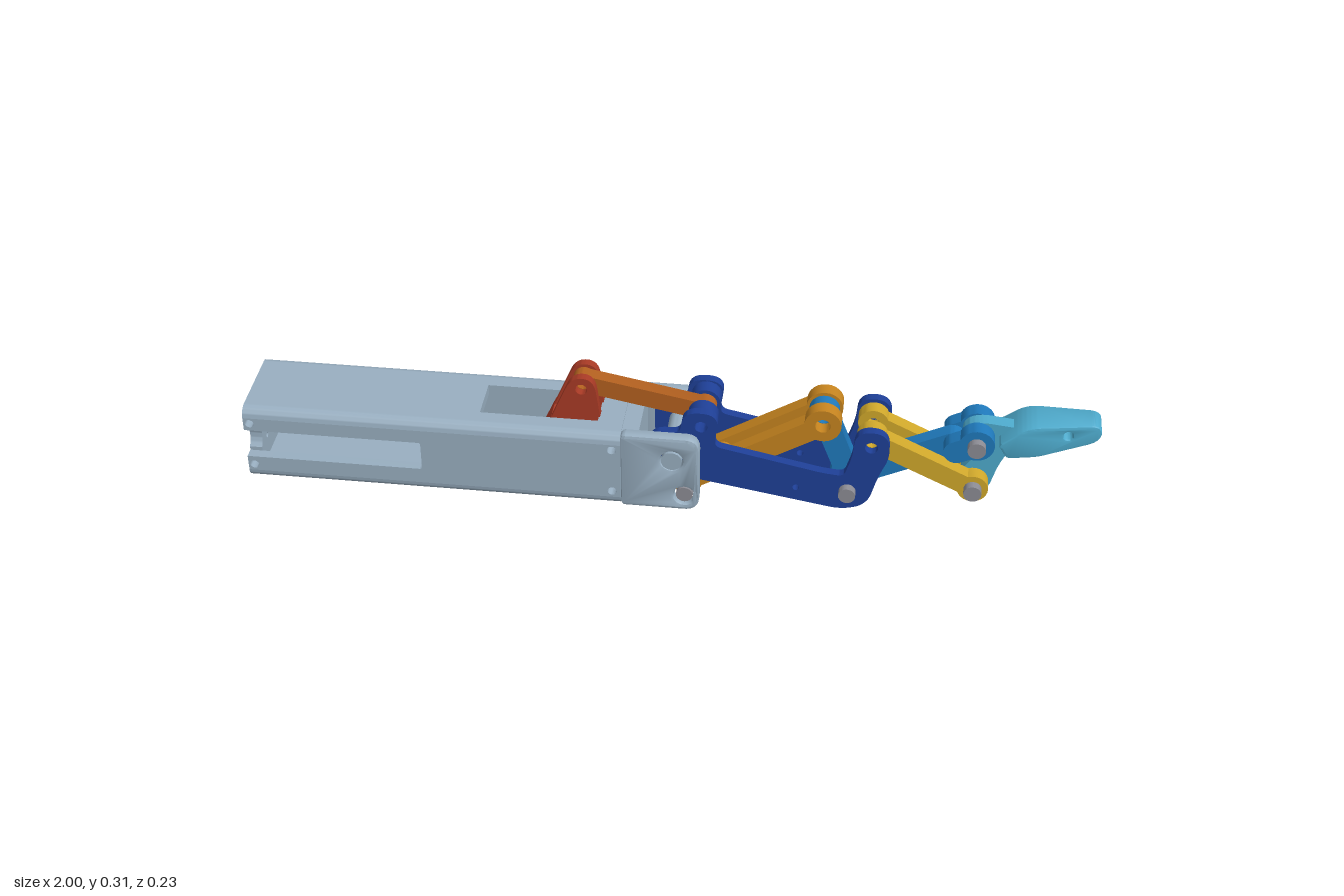
import * as THREE from 'three';
import { toCreasedNormals } from 'three/addons/utils/BufferGeometryUtils.js';

const mat = (name, color) => Object.assign(new THREE.MeshStandardMaterial({ color }), { name });
const V = (x, y) => new THREE.Vector2(x, y);

// Polygon with softened corners: points are [x, y, cornerLength]
function softPoly(pts, holes = []) {
  const s = new THREE.Shape();
  const n = pts.length;
  pts.forEach(([x, y, d = 0], i) => {
    const p = V(x, y);
    const toward = (q) => {
      const v = V(q[0], q[1]).sub(p);
      return p.clone().addScaledVector(v, Math.min(d, v.length() / 2) / v.length());
    };
    const a = toward(pts[(i + n - 1) % n]), b = toward(pts[(i + 1) % n]);
    if (i === 0) s.moveTo(a.x, a.y); else s.lineTo(a.x, a.y);
    if (d > 0) s.quadraticCurveTo(x, y, b.x, b.y);
  });
  s.closePath();
  return addHoles(s, holes);
}

function addHoles(shape, holes) {
  for (const [x, y, r] of holes) shape.holes.push(new THREE.Path().absarc(x, y, r, 0, Math.PI * 2, true));
  return shape;
}

// Bar of half width w with round eyes [x, y, radius] at both ends
function link(a, b, w, holes = []) {
  const dir = Math.atan2(b[1] - a[1], b[0] - a[0]);
  const pts = [];
  const eye = ([x, y, r], out) => {
    const gap = Math.asin(Math.min(1, w / r));
    for (let i = 0; i <= 20; i++) {
      const t = out - Math.PI + gap + (i / 20) * 2 * (Math.PI - gap);
      pts.push(V(x + r * Math.cos(t), y + r * Math.sin(t)));
    }
  };
  eye(b, dir);
  eye(a, dir + Math.PI);
  return addHoles(new THREE.Shape(pts), holes);
}

const ring = (x, y, r, hole) => addHoles(new THREE.Shape().absarc(x, y, r, 0, Math.PI * 2), hole ? [[x, y, hole]] : []);

function extrude(shape, z0, z1, bevel = 0) {
  const g = new THREE.ExtrudeGeometry(shape, {
    depth: z1 - z0 - 2 * bevel, curveSegments: 10, bevelEnabled: bevel > 0,
    bevelThickness: bevel, bevelSize: bevel, bevelOffset: -bevel, bevelSegments: 2,
  });
  return g.translate(0, 0, z0 + bevel);
}

export function createModel() {
  const root = new THREE.Group();
  const steel = mat('housing blue grey', 0x98aec0);
  const red = mat('crank red', 0xa83a25);
  const rust = mat('push rod rust', 0xb2601f);
  const navy = mat('base link navy', 0x1e3f96);
  const orange = mat('orange', 0xc6841f);
  const blue = mat('middle link blue', 0x1f79bb);
  const yellow = mat('yellow', 0xd0a82b);
  const cyan = mat('fingertip cyan', 0x4eabcd);
  const grey = mat('bolt grey', 0x8c8c94);

  const add = (name, geo, material) => {
    const m = new THREE.Mesh(toCreasedNormals(geo, 0.6), material);
    m.name = name;
    root.add(m);
    return m;
  };
  const centre = (name, shape, half, m, bevel) => add(name, extrude(shape, -half, half, bevel), m);
  const pair = (name, shape, z0, z1, m, bevel) => {
    add(name + 'Left', extrude(shape, z0, z1, bevel), m);
    add(name + 'Right', extrude(shape, -z1, -z0, bevel), m);
  };
  const pin = (name, x, y, r, half, m = grey) =>
    add(name, new THREE.CylinderGeometry(r, r, half * 2, 20).rotateX(Math.PI / 2).translate(x, y, 0), m);

  // Housing: hollow tube with round edges and an open slot at the rear of each side
  const x0 = -1, x1 = -0.1, W = 0.113, r = 0.025, yb = 0.003, yt = 0.205;
  const holes = [-0.985, -0.12].flatMap((x) => [[x, 0.045, 0.011], [x, 0.165, 0.011]]);
  pair('housingSide', softPoly([
    [x0, yb + r], [x1, yb + r], [x1, yt - r], [x0, yt - r],
    [x0, 0.145], [-0.575, 0.145, 0.006], [-0.575, 0.068, 0.006], [x0, 0.068],
  ], holes), W - r, W, steel);
  const deck = (slot) => {
    const s = softPoly([[x0, r - W], [x1, r - W], [x1, W - r], [x0, W - r]]);
    if (slot) s.holes.push(new THREE.Path([V(-0.44, -0.055), V(-0.44, 0.055), V(-0.16, 0.055), V(-0.16, -0.055)]));
    return extrude(s, 0, r).rotateX(-Math.PI / 2);
  };
  add('housingTop', deck(true).translate(0, yt - r, 0), steel);
  add('housingFloor', deck(false).translate(0, yb, 0), steel);
  for (let q = 0; q < 4; q++) {
    const a = q * Math.PI / 2;
    const s = new THREE.Shape().moveTo(0, 0).absarc(0, 0, r, a, a + Math.PI / 2).lineTo(0, 0);
    const side = q === 0 || q === 3 ? -1 : 1;
    add('housingEdge', extrude(s, x0, x1).rotateY(Math.PI / 2)
      .translate(0, q < 2 ? yt - r : yb + r, side * (W - r)), steel);
  }

  // Rear cap with a round bite on both sides
  const cw = W - r, bite = Math.asin(r / 0.038), cy = 0.1065;
  const cap = new THREE.Shape().moveTo(-cw, yb + r).lineTo(cw, yb + r);
  cap.absarc(W, cy, 0.038, 1.5 * Math.PI - bite, Math.PI / 2 + bite, true);
  cap.lineTo(cw, yt - r).lineTo(-cw, yt - r);
  cap.absarc(-W, cy, 0.038, Math.PI / 2 - bite, bite - Math.PI / 2, true);
  addHoles(cap, [[0, 0.15, 0.007], [-0.04, 0.08, 0.007], [0.04, 0.08, 0.007]]);
  add('rearCap', extrude(cap, x0, -0.97).rotateY(Math.PI / 2), steel);

  // Front fork holding the finger
  pair('forkCheek', softPoly([
    [-0.1, 0.004, 0.012], [0.085, 0.004, 0.035], [0.085, 0.21, 0.035], [-0.1, 0.21, 0.012],
  ], [[0.05, 0.045, 0.025], [0.02, 0.145, 0.026]]), 0.081, W, steel, 0.008);
  add('forkBase', new THREE.BoxGeometry(0.04, 0.195, 0.17).translate(-0.08, 0.104, 0), steel);
  pin('mainPivot', 0.02, 0.145, 0.0245, 0.1125, steel);
  pin('lowerForkBolt', 0.05, 0.045, 0.02, 0.106);

  // Red crank: two ears on a slider block
  pair('crankEar', softPoly([
    [-0.3, 0.13], [-0.155, 0.13], [-0.157, 0.21], [-0.17, 0.31, 0.035], [-0.223, 0.312, 0.035],
  ], [[-0.2, 0.28, 0.014]]), 0.019, 0.04, red);
  centre('crankBlock', softPoly([
    [-0.315, 0.1], [-0.165, 0.1], [-0.165, 0.19], [-0.275, 0.19],
  ]), 0.055, red, 0.008);

  // Push rod from crank to base link
  centre('pushRod', link([-0.2, 0.28, 0.025], [0.085, 0.225, 0.028], 0.023,
    [[-0.2, 0.28, 0.014], [0.085, 0.225, 0.015]]), 0.017, rust);

  // Base link: two bent navy plates with inner bosses
  pair('baseLink', softPoly([
    [-0.04, 0.085, 0.04], [0.08, 0.073, 0.02], [0.42, 0.015, 0.03], [0.478, 0.035, 0.035],
    [0.5, 0.12, 0.03], [0.525, 0.18, 0.03], [0.515, 0.243, 0.036], [0.443, 0.243, 0.036], [0.437, 0.17, 0.02],
    [0.42, 0.113, 0.015], [0.37, 0.118, 0.015], [0.115, 0.172, 0.02],
    [0.128, 0.262, 0.04], [0.045, 0.265, 0.04], [0.035, 0.205, 0.015], [-0.04, 0.2, 0.045],
  ], [[0.085, 0.225, 0.015], [0.48, 0.2, 0.015], [0.31, 0.07, 0.008]]), 0.056, 0.078, navy);
  pair('baseLinkBoss', ring(0.085, 0.225, 0.036, 0.015), 0.019, 0.058, navy);

  // Lower orange coupler
  pair('orangeLink', link([0.05, 0.045, 0.036], [0.365, 0.235, 0.043], 0.026,
    [[0.365, 0.235, 0.018]]), 0.019, 0.054, orange);
  centre('orangeBridge', link([0.075, 0.06, 0.022], [0.13, 0.093, 0.022], 0.022), 0.02, orange);

  // Middle blue bell crank with a fork at its far end
  centre('middleLinkShort', link([0.365, 0.235, 0.036], [0.43, 0.07, 0.045], 0.028,
    [[0.365, 0.235, 0.018]]), 0.0175, blue);
  centre('middleLinkLong', link([0.43, 0.07, 0.045], [0.665, 0.183, 0.031], 0.031), 0.0175, blue);
  pair('middleLinkFork', link([0.675, 0.188, 0.03], [0.72, 0.21, 0.041], 0.03), 0.0172, 0.055, blue);

  // Upper yellow coupler
  pair('yellowLink', link([0.48, 0.2, 0.036], [0.72, 0.085, 0.036], 0.025,
    [[0.48, 0.2, 0.015]]), 0.019, 0.054, yellow);

  // Fingertip: thin arm and a tapered pad
  centre('tipArm', softPoly([
    [0.686, 0.05, 0.034], [0.754, 0.05, 0.034], [0.775, 0.13, 0.02], [0.8, 0.185], [0.83, 0.24],
    [0.72, 0.252, 0.03], [0.685, 0.23, 0.03], [0.69, 0.185, 0.02], [0.725, 0.16, 0.02], [0.69, 0.11, 0.02],
  ]), 0.0168, cyan);
  const pad = extrude(softPoly([
    [0.79, 0.178, 0.01], [0.86, 0.183, 0.02], [1, 0.23, 0.03], [1, 0.275, 0.03],
    [0.83, 0.266, 0.03], [0.768, 0.215, 0.01],
  ], [[0.925, 0.245, 0.011]]), -0.055, 0.055, 0.006);
  const p = pad.attributes.position;
  for (let i = 0; i < p.count; i++) {
    const t = (p.getX(i) - 0.77) / 0.23;
    p.setZ(i, p.getZ(i) * (1 - 0.42 * t));
  }
  add('fingertipPad', pad, cyan);

  // Joint bolts
  pin('elbowBolt', 0.43, 0.07, 0.02, 0.098);
  pin('wristBolt', 0.72, 0.21, 0.021, 0.075);
  pin('couplerBolt', 0.72, 0.085, 0.021, 0.075);

  return root;
}
